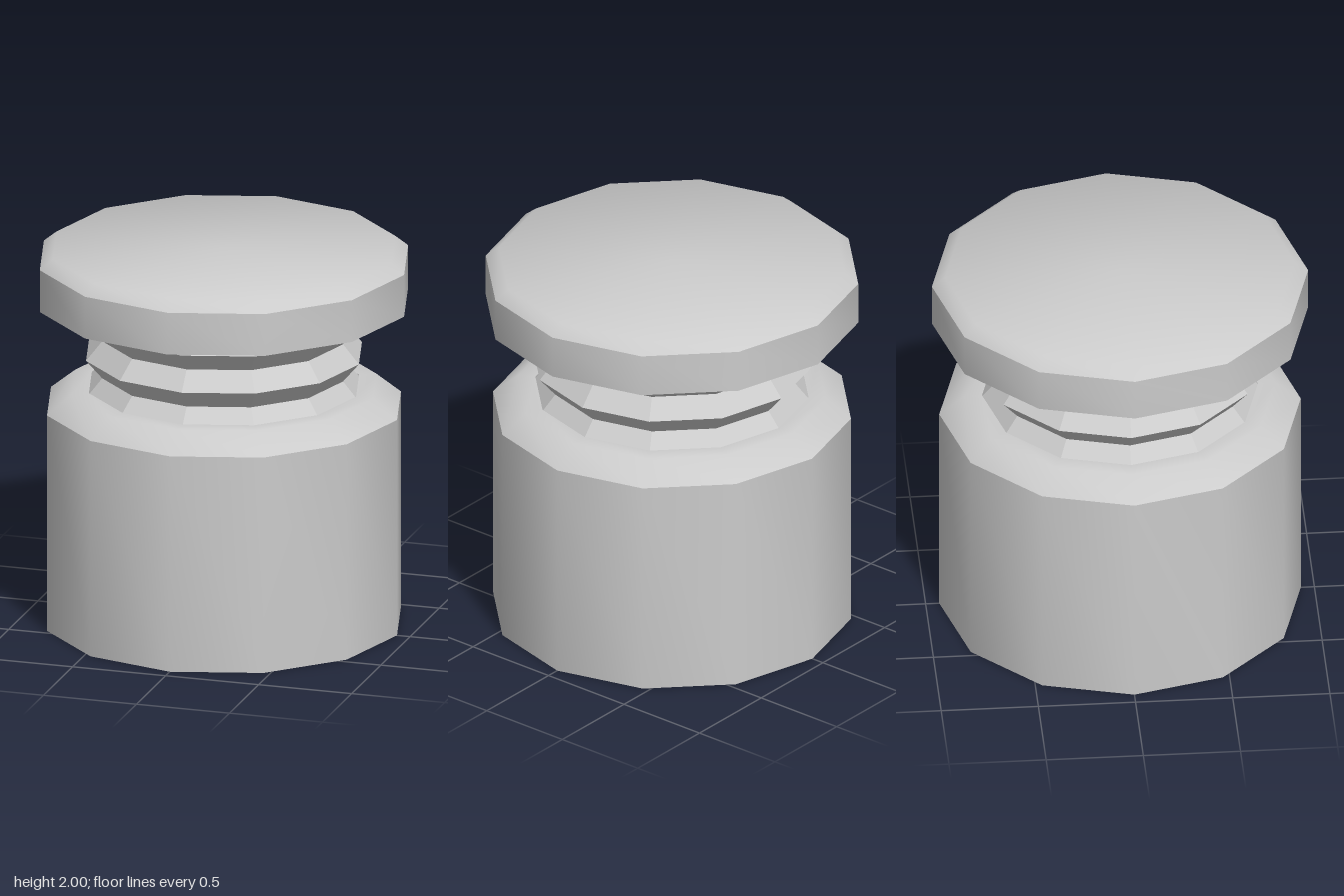
import * as THREE from 'three';
import { toCreasedNormals } from 'three/addons/utils/BufferGeometryUtils.js';

const SIDES = 12;

// Twelve-sided turned part from [radius, height] pairs listed bottom to top
function turned(name, profile, { flat = false, open = false } = {}) {
  const points = profile.map(([r, y]) => new THREE.Vector2(r, y));
  let geometry = new THREE.LatheGeometry(points, SIDES);
  if (!flat) geometry = toCreasedNormals(geometry, 0.7);
  const material = new THREE.MeshStandardMaterial({
    color: 0xcccccc,
    flatShading: flat,
    side: open ? THREE.DoubleSide : THREE.FrontSide,
  });
  const mesh = new THREE.Mesh(geometry, material);
  mesh.name = name;
  return mesh;
}

export function createModel() {
  const model = new THREE.Group();
  model.name = 'plungerButton';

  // Hollow housing: open underneath, bevelled shoulder, hole for the bellows
  model.add(turned('housing', [
    [0.93, 0], [0.93, 1.16], [0.8, 1.265], [0.71, 1.265],
  ], { open: true }));

  // Bellows: open tube of alternating ridges and grooves, hanging inside the housing
  const folds = [];
  for (let i = 0; i < 6; i++) {
    const y = 0.64 + i * 0.2;
    folds.push([0.725, y]);
    if (i < 5) folds.push([0.64, y + 0.1]);
  }
  folds.push([0.64, 1.68], [0.668, 1.72]);
  model.add(turned('bellows', folds, { flat: true, open: true }));

  // Cap: solid disc with a bevelled top edge
  model.add(turned('cap', [
    [0, 1.72], [0.968, 1.72], [0.968, 1.945], [0.9, 2], [0, 2],
  ]));

  return model;
}
